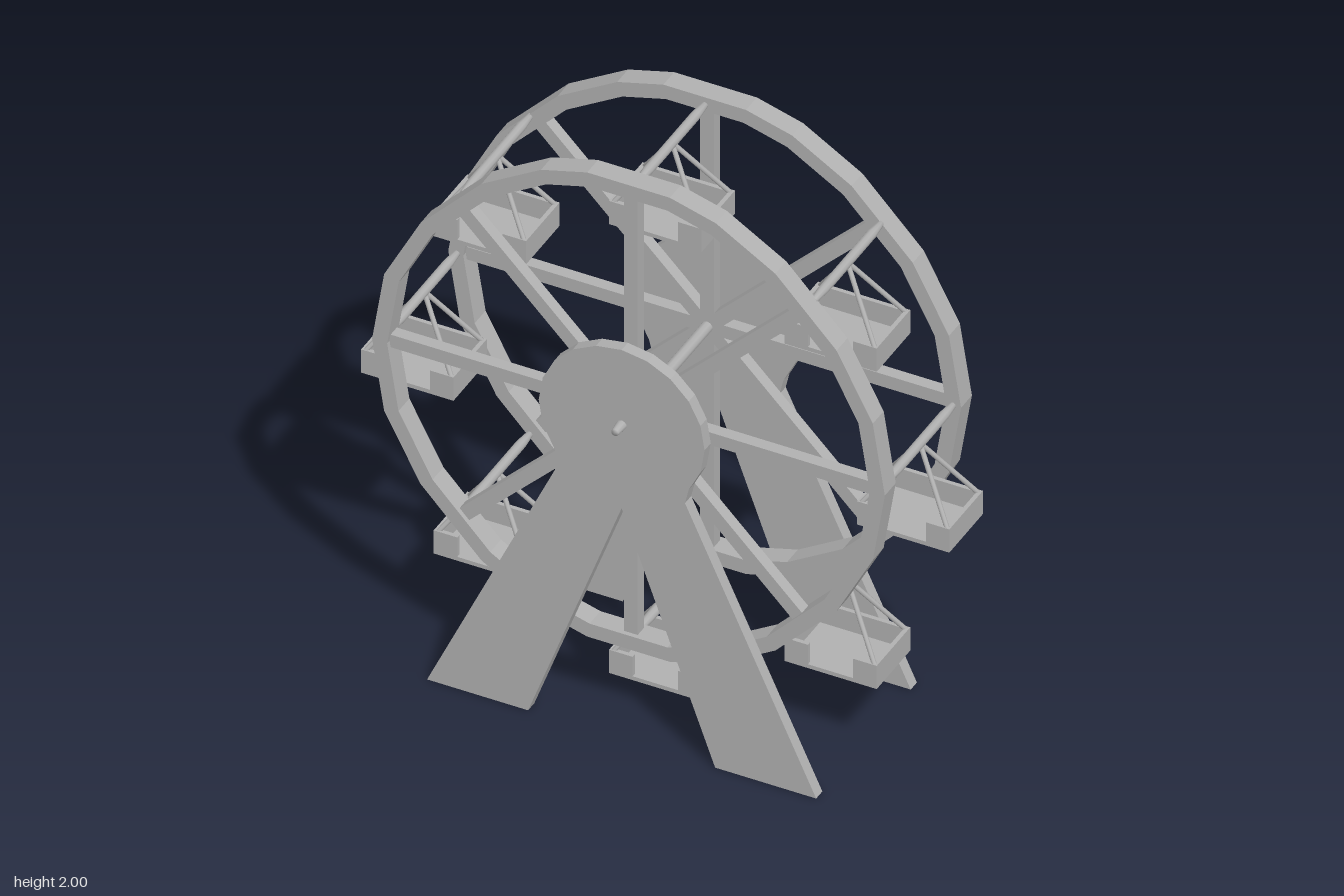
import * as THREE from 'three';

const HUB_Y = 1.15, BAR_R = 0.822;
const grey = new THREE.MeshStandardMaterial({ color: 0xb0b0b0 });
grey.name = 'grey';

function add(parent, name, geometry, x = 0, y = 0, z = 0) {
  const mesh = new THREE.Mesh(geometry, grey);
  mesh.name = name;
  mesh.position.set(x, y, z);
  parent.add(mesh);
  return mesh;
}

// Round rod between two points
function rod(parent, name, a, b, radius) {
  const dir = b.clone().sub(a);
  const mesh = add(parent, name, new THREE.CylinderGeometry(radius, radius, dir.length(), 8));
  mesh.position.copy(a).add(b).multiplyScalar(0.5);
  mesh.quaternion.setFromUnitVectors(new THREE.Vector3(0, 1, 0), dir.normalize());
}

// Lathed bar lying along z, slimmer at both ends
function crossBar(parent, name, half, radius, x, y) {
  const profile = [[0, -half], [radius * 0.65, -half], [radius, -half + 0.06],
    [radius, half - 0.06], [radius * 0.65, half], [0, half]].map(p => new THREE.Vector2(...p));
  add(parent, name, new THREE.LatheGeometry(profile, 10), x, y, 0).rotation.x = Math.PI / 2;
}

// Faceted rim outline, mirrored from one quarter
function rimPoints(inset) {
  const quarter = [[0.85, 0], [0.81, 0.25], [0.69, 0.477], [0.487, 0.69], [0.29, 0.808], [0.137, 0.85]];
  const upper = [...quarter, ...quarter.slice().reverse().map(([x, y]) => [-x, y])];
  const all = [...upper, ...upper.slice(1, -1).reverse().map(([x, y]) => [x, -y])];
  const k = 1 - inset / 0.85;
  return all.map(([x, y]) => new THREE.Vector2(x * k, y * k));
}

function rimGeometry() {
  const shape = new THREE.Shape(rimPoints(0));
  shape.holes.push(new THREE.Path(rimPoints(0.05)));
  return new THREE.ExtrudeGeometry(shape, { depth: 0.07, bevelEnabled: false }).translate(0, 0, -0.035);
}

// Hub disc and two splayed legs as one plate
function supportGeometry() {
  const pts = [[-0.21, 0.935], [-0.645, 0], [-0.31, 0], [0, 0.845], [0.31, 0], [0.645, 0], [0.21, 0.935]];
  const outline = pts.map(p => new THREE.Vector2(...p));
  for (let i = 0; i <= 14; i++) {
    const a = THREE.MathUtils.degToRad(-36 + i * 18);
    outline.push(new THREE.Vector2(0.275 * Math.cos(a), HUB_Y + 0.275 * Math.sin(a)));
  }
  return new THREE.ExtrudeGeometry(new THREE.Shape(outline), { depth: 0.04, bevelEnabled: false })
    .translate(0, 0, -0.02);
}

// Open basket with an entrance in its front wall, hung on four rods
function createGondola() {
  const g = new THREE.Group();
  g.name = 'gondola';
  const W = 0.306, D = 0.216, H = 0.085, t = 0.014, midY = -0.237;
  add(g, 'basketFloor', new THREE.BoxGeometry(W, t, D), 0, midY - H / 2 + t / 2, 0);
  add(g, 'basketBack', new THREE.BoxGeometry(W, H, t), 0, midY, -D / 2 + t / 2);
  for (const s of [-1, 1]) {
    add(g, 'basketEnd', new THREE.BoxGeometry(t, H, D), s * (W - t) / 2, midY, 0);
    add(g, 'basketFront', new THREE.BoxGeometry(W / 2 - 0.075, H, t),
      s * (W / 4 + 0.0375), midY, D / 2 - t / 2);
    for (const z of [-1, 1]) {
      rod(g, 'hangerRod', new THREE.Vector3(0, 0, 0),
        new THREE.Vector3(s * 0.142, -0.2, z * 0.1), 0.008);
    }
  }
  return g;
}

export function createModel() {
  const model = new THREE.Group();
  model.name = 'ferrisWheel';

  for (const s of [-1, 1]) {
    add(model, 'support', supportGeometry(), 0, 0, s * 0.304);
    const side = new THREE.Group();
    side.name = 'wheelSide';
    side.position.set(0, HUB_Y, s * 0.245);
    add(side, 'rim', rimGeometry());
    for (let i = 0; i < 4; i++) {
      // each beam makes two opposite spokes
      const length = i % 2 ? 1.58 : 1.62;
      add(side, 'spokePair', new THREE.BoxGeometry(length, 0.046, 0.04)).rotation.z = i * Math.PI / 4;
    }
    model.add(side);
  }

  crossBar(model, 'axle', 0.367, 0.019, 0, HUB_Y);

  // Gondolas and the bars that carry them
  for (let i = 0; i < 8; i++) {
    const a = i * Math.PI / 4;
    const x = BAR_R * Math.cos(a), y = HUB_Y + BAR_R * Math.sin(a);
    crossBar(model, 'gondolaBar', 0.215, 0.016, x, y);
    const gondola = createGondola();
    gondola.position.set(x, y, 0);
    model.add(gondola);
  }
  return model;
}
